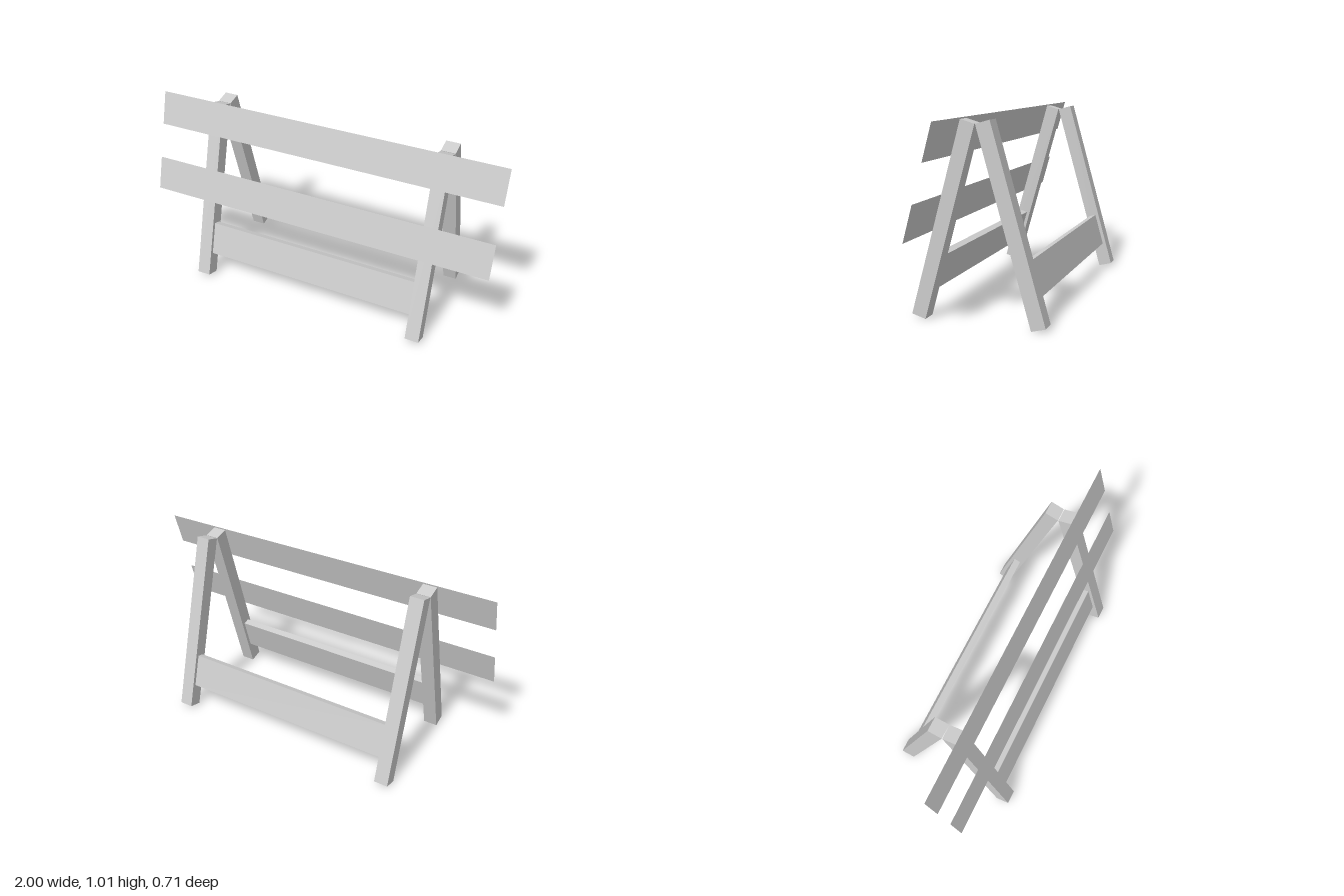
import * as THREE from 'three';

const TILT = 0.2762;   // lean of each frame
const LEG = 0.077;     // leg cross-section
const LEG_X = [-0.652, 0.664];

export function createModel() {
  const model = new THREE.Group();
  model.name = 'barricade';
  const grey = new THREE.MeshStandardMaterial({ color: 0xcccccc, flatShading: true });
  const thin = new THREE.MeshStandardMaterial({ color: 0xcccccc, flatShading: true, side: THREE.DoubleSide });

  const add = (parent, name, geometry, material, x, y, z) => {
    const mesh = new THREE.Mesh(geometry, material);
    mesh.name = name;
    mesh.position.set(x, y, z);
    parent.add(mesh);
  };

  // Two leaning frames meeting at the top; local y runs along the legs
  for (const side of [1, -1]) {
    const frame = new THREE.Group();
    frame.name = side > 0 ? 'frontFrame' : 'backFrame';
    frame.rotation.x = -side * TILT;
    frame.position.set(0, 0.503, side * 0.178);
    model.add(frame);

    // Square legs
    LEG_X.forEach((x, i) =>
      add(frame, i ? 'leftLeg' : 'rightLeg', new THREE.BoxGeometry(LEG, 1.023, LEG), grey, x, 0, 0));

    // Lower beam between the legs
    const span = LEG_X[1] - LEG_X[0] - LEG;
    add(frame, 'lowerBeam', new THREE.BoxGeometry(span, 0.188, 0.039), grey, 0.006, -0.284, 0);

    // Thin sign boards on the outer face of the front legs
    if (side > 0) {
      add(frame, 'topBoard', new THREE.PlaneGeometry(2, 0.19), thin, 0, 0.4236, LEG / 2 + 0.0015);
      add(frame, 'middleBoard', new THREE.PlaneGeometry(2, 0.19), thin, 0, 0.035, LEG / 2 + 0.0015);
    }
  }
  return model;
}
